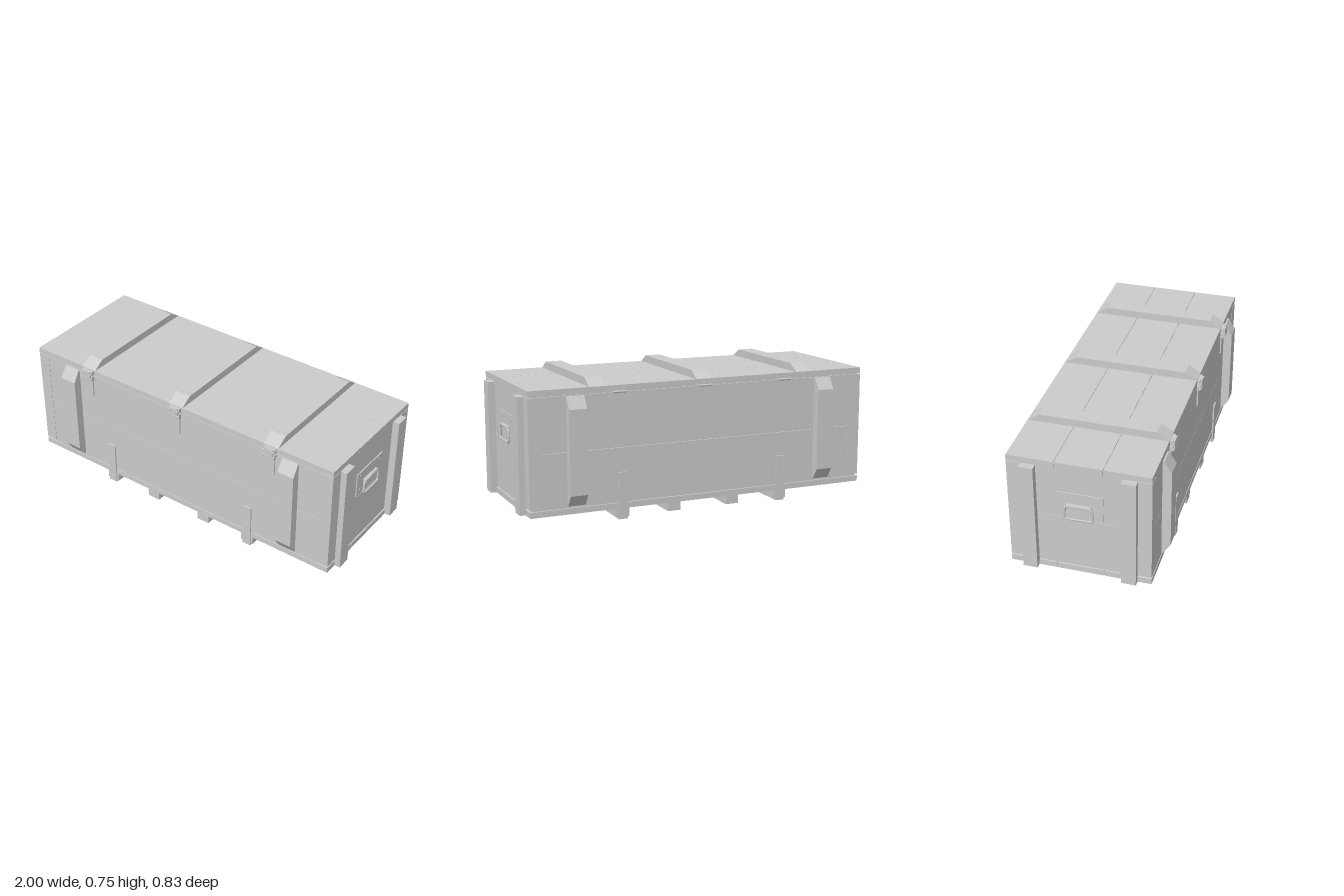
import * as THREE from 'three';

const mat = new THREE.MeshStandardMaterial({ color: 0xcccccc, flatShading: true });
const smooth = new THREE.MeshStandardMaterial({ color: 0xcccccc });

export function createModel() {
  const root = new THREE.Group();

  const add = (name, geo, parent = root, m = mat) => {
    const mesh = new THREE.Mesh(geo, m);
    mesh.name = name;
    parent.add(mesh);
    return mesh;
  };
  // Box given by its minimum and maximum on each axis
  const box = (name, x0, x1, y0, y1, z0, z1, parent = root) => {
    const g = new THREE.BoxGeometry(x1 - x0, y1 - y0, z1 - z0);
    g.translate((x0 + x1) / 2, (y0 + y1) / 2, (z0 + z1) / 2);
    return add(name, g, parent);
  };
  // Profile of (z, y) points extruded along x, centred on x
  const slat = (name, pts, x, width) => {
    const shape = new THREE.Shape(pts.map(([z, y]) => new THREE.Vector2(-z, y)));
    const g = new THREE.ExtrudeGeometry(shape, { depth: width, bevelEnabled: false });
    g.translate(0, 0, -width / 2);
    g.rotateY(Math.PI / 2);
    g.translate(x, 0, 0);
    return add(name, g);
  };

  // Case body: inner core and upper and lower wall planks
  box('core', -0.955, 0.955, 0.07, 0.69, -0.36, 0.36);
  for (const [y0, y1] of [[0.09, 0.379], [0.381, 0.67]]) {
    for (const s of [-1, 1]) {
      box('sidePlank', -0.9, 0.9, y0, y1, s * 0.36 - 0.008, s * 0.36 + 0.008);
      box('endPlank', s * 0.955 - 0.007, s * 0.955 + 0.007, y0, y1, -0.3, 0.3);
    }
  }

  // Lid and floor boards, three each
  for (const [z0, z1] of [[-0.37, -0.126], [-0.124, 0.124], [0.126, 0.37]]) {
    box('lidPlank', -0.968, 0.968, 0.674, 0.706, z0, z1);
    box('floorPlank', -0.968, 0.968, 0.056, 0.087, z0, z1);
  }

  // Corner blocks and raised end posts
  for (const sx of [-1, 1]) {
    for (const sz of [-1, 1]) {
      box('cornerBlock', sx * 0.934 - 0.034, sx * 0.934 + 0.034, 0.098, 0.67,
        sz * 0.334 - 0.036, sz * 0.334 + 0.036);
      box('endPost', sx * 0.98 - 0.02, sx * 0.98 + 0.02, 0.057, 0.668,
        sz * 0.259 - 0.038, sz * 0.259 + 0.038);
    }
  }

  // Chamfered battens on the front and back
  for (const x of [-0.72, 0.72]) {
    for (const s of [-1, 1]) {
      slat('sideBatten', [[0.36 * s, 0.1], [0.376 * s, 0.1], [0.416 * s, 0.16],
        [0.416 * s, 0.605], [0.376 * s, 0.667], [0.36 * s, 0.667]], x, 0.095);
    }
  }

  // Lid battens, front latches
  for (const x of [-0.6, 0, 0.6]) {
    slat('lidBatten', [[0.37, 0.703], [0.37, 0.706], [0.305, 0.747],
      [-0.305, 0.747], [-0.37, 0.706], [-0.37, 0.703]], x, 0.088);
    const latch = new THREE.Group();
    latch.name = 'latch';
    latch.position.x = x;
    root.add(latch);
    box('latchStrip', -0.027, 0.027, 0.535, 0.65, 0.365, 0.375, latch);
    box('latchBase', -0.033, 0.033, 0.64, 0.668, 0.365, 0.386, latch);
    box('latchCatch', -0.035, 0.035, 0.678, 0.702, 0.365, 0.385, latch);
    box('latchLever', -0.026, 0.026, 0.65, 0.7, 0.38, 0.394, latch);
    for (const y of [0.654, 0.686]) {
      const pin = new THREE.CylinderGeometry(0.006, 0.006, 0.07, 10);
      pin.rotateZ(Math.PI / 2);
      pin.translate(0, y, 0.389);
      add('latchPin', pin, latch, smooth);
    }
  }

  // Back hinges
  for (const x of [-0.48, 0, 0.48]) {
    box('hingeLeaf', x - 0.04, x + 0.04, 0.655, 0.69, -0.373, -0.36);
    const barrel = new THREE.CylinderGeometry(0.006, 0.006, 0.08, 10);
    barrel.rotateZ(Math.PI / 2);
    barrel.translate(x, 0.672, -0.374);
    add('hingeBarrel', barrel, root, smooth);
  }

  // Bottom runners, with metal bands wrapped round the outer two
  for (const x of [-0.465, -0.172, 0.172, 0.465]) {
    box('runner', x - 0.037, x + 0.037, 0.01, 0.056, -0.37, 0.37);
  }
  for (const x of [-0.465, 0.465]) {
    box('bandBottom', x - 0.025, x + 0.025, 0, 0.011, -0.376, 0.376);
    for (const s of [-1, 1]) {
      box('bandUpright', x - 0.025, x + 0.025, 0, 0.25, s * 0.371 - 0.005, s * 0.371 + 0.005);
    }
  }

  // End handles: plate, rivets, hinge clip and closed bail
  const loop = [[-0.062, 0.39], [0.062, 0.39], [0.074, 0.402], [0.07, 0.455],
    [0.058, 0.467], [-0.058, 0.467], [-0.07, 0.455], [-0.074, 0.402]];
  const path = new THREE.CurvePath();
  loop.forEach(([z, y], i) => {
    const [z2, y2] = loop[(i + 1) % loop.length];
    path.add(new THREE.LineCurve3(new THREE.Vector3(0.98, y, z), new THREE.Vector3(0.98, y2, z2)));
  });
  for (const s of [1, -1]) {
    const handle = new THREE.Group();
    handle.name = 'endHandle';
    handle.rotation.y = s > 0 ? 0 : Math.PI;
    root.add(handle);
    box('handlePlate', 0.955, 0.968, 0.397, 0.535, -0.124, 0.124, handle);
    box('handleClip', 0.96, 0.982, 0.46, 0.474, -0.063, 0.063, handle);
    add('handleBail', new THREE.TubeGeometry(path, 64, 0.006, 8, true), handle, smooth);
    for (const z of [-0.093, 0.093]) {
      for (const y of [0.423, 0.515]) {
        const rivet = new THREE.CylinderGeometry(0.005, 0.007, 0.004, 10);
        rivet.rotateZ(-Math.PI / 2);
        rivet.translate(0.969, y, z);
        add('rivet', rivet, handle, smooth);
      }
    }
  }

  return root;
}
